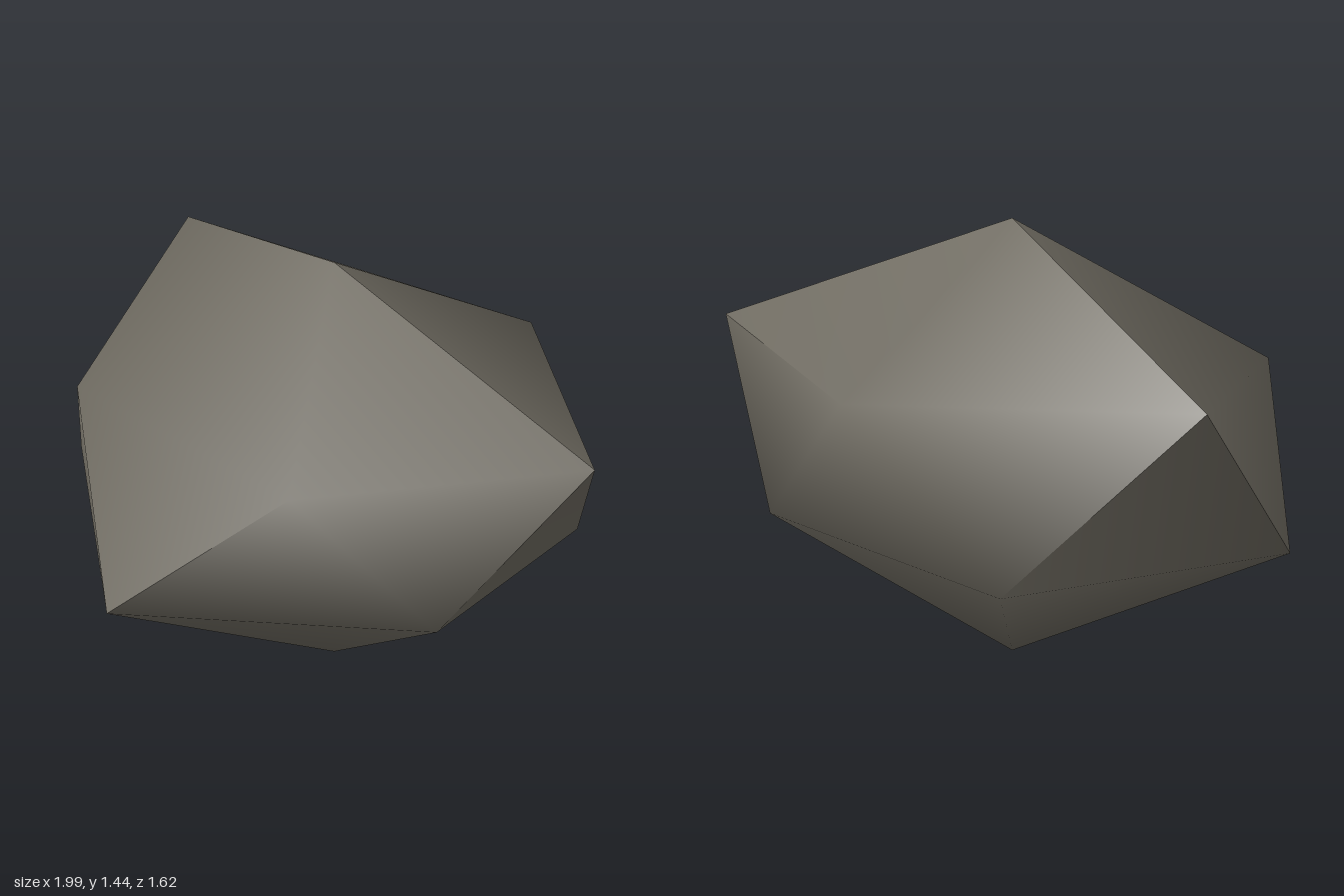
import * as THREE from 'three';

const CREASE = Math.cos(THREE.MathUtils.degToRad(47));

// Smooth normals inside each fan of faces around a point, split at sharp edges
function creasedGeometry(points, faces) {
  const normals = faces.map(([a, b, c]) =>
    new THREE.Triangle(points[a], points[b], points[c]).getNormal(new THREE.Vector3()));
  const positions = [];
  const shading = [];

  const cornerAngle = (face, v) => {
    const [p, q] = face.filter((i) => i !== v).map((i) => points[i].clone().sub(points[v]));
    return p.angleTo(q);
  };

  faces.forEach((face, f) => {
    for (const v of face) {
      const fan = [f];
      for (const g of fan) {
        faces.forEach((other, h) => {
          if (fan.includes(h) || !other.includes(v)) return;
          const shared = other.filter((i) => faces[g].includes(i)).length;
          if (shared === 2 && normals[g].dot(normals[h]) > CREASE) fan.push(h);
        });
      }
      const n = new THREE.Vector3();
      for (const g of fan) n.addScaledVector(normals[g], cornerAngle(faces[g], v));
      n.normalize();
      positions.push(...points[v].toArray());
      shading.push(...n.toArray());
    }
  });

  const geometry = new THREE.BufferGeometry();
  geometry.setAttribute('position', new THREE.Float32BufferAttribute(positions, 3));
  geometry.setAttribute('normal', new THREE.Float32BufferAttribute(shading, 3));
  return geometry;
}

export function createModel() {
  const stone = new THREE.MeshStandardMaterial({ color: 0x6e6a60 });
  stone.name = 'stone';

  // Top point, upper ring, lower ring (half a step on), bottom point
  const points = [
    [-0.02, 1.44, 0],
    [0.99, 1.0, 0], [0.24, 0.95, 0.64], [-0.73, 0.95, 0.42], [-0.96, 1.04, -0.55], [0.26, 0.97, -0.71],
    [0.65, 0.48, 0.4], [-0.35, 0.42, 0.81], [-1.0, 0.44, 0], [-0.35, 0.42, -0.81], [0.65, 0.48, -0.4],
    [-0.02, 0, 0],
  ].map((p) => new THREE.Vector3(...p));

  // Cap, zigzag belt and base
  const faces = [];
  for (let i = 0; i < 5; i++) {
    const j = (i + 1) % 5;
    const [u, uNext, d, dNext] = [1 + i, 1 + j, 6 + i, 6 + j];
    faces.push([0, uNext, u], [u, uNext, d], [uNext, dNext, d], [11, d, dNext]);
  }

  const rock = new THREE.Mesh(creasedGeometry(points, faces), stone);
  rock.name = 'rock';

  const model = new THREE.Group();
  model.name = 'boulder';
  model.add(rock);
  return model;
}
